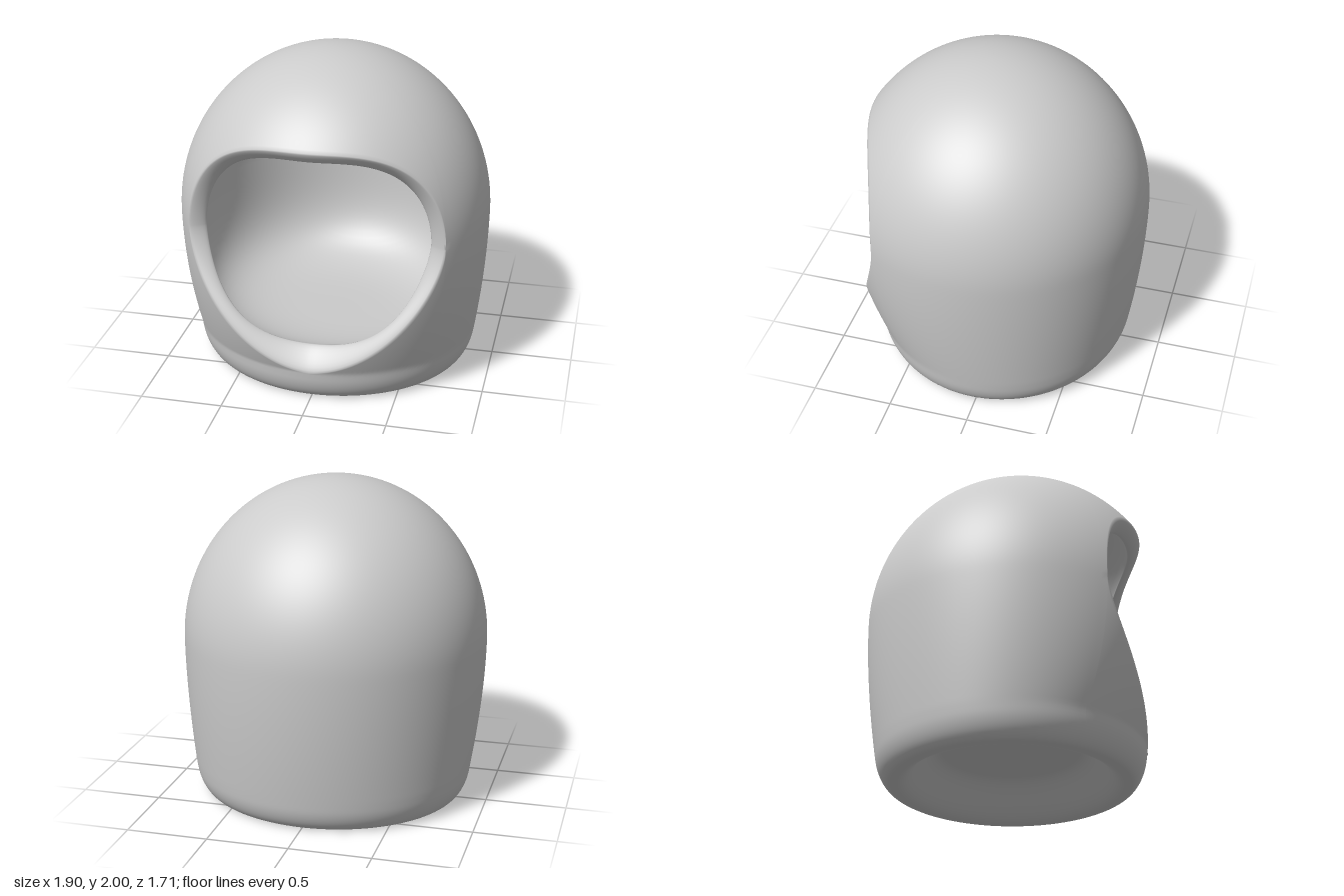
import * as THREE from 'three';
import { mergeGeometries, mergeVertices } from 'three/addons/utils/BufferGeometryUtils.js';

const FRONT = 72, BACK = 96;          // columns across the face opening and around the back
const HALF = 0.77;                    // half width of the face opening
const CENTRE = new THREE.Vector3(0, 1, 0.09);

// Quad grid from a rule giving a point for each (column, row)
function grid(cols, rows, rule) {
  const pos = [], idx = [];
  for (let j = 0; j <= rows; j++)
    for (let i = 0; i <= cols; i++) pos.push(...rule(i, j / rows).toArray());
  for (let j = 0; j < rows; j++)
    for (let i = 0; i < cols; i++) {
      const a = j * (cols + 1) + i, c = a + cols + 1;
      idx.push(a, c, a + 1, a + 1, c, c + 1);
    }
  const g = new THREE.BufferGeometry();
  g.setAttribute('position', new THREE.Float32BufferAttribute(pos, 3));
  g.setIndex(idx);
  return g;
}

// Horizontal radius of the outer surface at height y
function radius(y) {
  if (y >= 1) return 0.95 * Math.sqrt(Math.max(0, 1 - (y - 1) ** 2));
  const k = Math.max(0, 1 - y / 0.15);
  return 0.95 - 0.1 * (1 - y) ** 1.8 - 0.07 * (1 - Math.sqrt(Math.max(0, 1 - k * k)));
}

// Outer surface point: round dome above, slightly flattened front to back below
function outer(theta, y, scale = 1, lift = 0) {
  const w = 0.065 * Math.min(1, Math.max(0, 1 - y) / 0.8) ** 2;
  const r = radius(y);
  return new THREE.Vector3(
    r * scale * Math.sin(theta), y + lift, 0.09 - w + (r - w) * scale * Math.cos(theta));
}

// Inner surface point along a direction: dome above, flatter bowl below
function inner(d) {
  const p = d.y < 0 ? 4 : 2, b = d.y < 0 ? 0.74 : 0.9;
  const h = Math.hypot(d.x / 0.85, d.z / 0.84);
  const s = (h ** p + Math.abs(d.y / b) ** p) ** (-1 / p);
  return d.clone().multiplyScalar(s).add(CENTRE);
}

// Columns: upper and lower edge of the opening in front, a plain seam at the back
function column(i) {
  const side = Math.asin(HALF / radius(1));
  if (i > FRONT) {
    const t = side + (2 * Math.PI - 2 * side) * (i - FRONT) / BACK;
    return { topAngle: t, top: 1, lowAngle: t, low: 1 };
  }
  const q = Math.sin((i / FRONT - 0.5) * Math.PI), a = Math.min(1, Math.abs(q));
  const top = 1 + 0.6 * Math.sqrt(1 - a ** 3);
  const low = 1 - 0.8 * (1 - a ** 1.7) ** 0.6;
  return {
    top, low,
    topAngle: Math.asin(HALF * q / radius(top)),
    lowAngle: Math.asin(HALF * q / radius(low)),
  };
}

export function createModel() {
  const cols = Array.from({ length: FRONT + BACK + 1 }, (_, i) => column(i));

  // Crown: from the apex down to the upper edge of the opening
  const crown = grid(FRONT + BACK, 40, (i, t) => {
    const c = cols[i];
    return outer(c.topAngle, 1 + Math.cos(t * Math.acos(c.top - 1)));
  });

  // Lower wall: from the lower edge of the opening to the base
  const wall = grid(FRONT + BACK, 40, (i, t) => {
    const c = cols[i];
    return outer(c.lowAngle, c.low * (1 - t) ** 1.6);
  });

  // Underside: narrow flat rim, then a shallow hollow
  const underside = grid(FRONT + BACK, 32, (i, t) => {
    const lift = 0.22 * THREE.MathUtils.smoothstep(t, 0.05, 0.42);
    return outer(cols[i].lowAngle, 0, 1 - t, lift);
  });

  // Loop around the opening: along the upper edge, back along the lower edge
  const loop = [];
  for (let i = 0; i <= FRONT; i++) loop.push(outer(cols[i].topAngle, cols[i].top));
  for (let i = FRONT - 1; i >= 0; i--) loop.push(outer(cols[i].lowAngle, cols[i].low));

  // Rounded lip between outer and inner surface
  const lip = grid(2 * FRONT, 10, (i, t) => {
    const o = loop[i];
    const n = inner(o.clone().sub(CENTRE));
    const toward = new THREE.Vector3(-o.x, 1 - o.y, 0).normalize();
    return o.clone().lerp(n, (1 - Math.cos(t * Math.PI)) / 2)
      .addScaledVector(toward, 0.03 * Math.sin(t * Math.PI));
  });

  // Cavity: sweeps from the lip around to the back of the inside
  const cavity = grid(2 * FRONT, 48, (i, t) => {
    const d = loop[i].clone().sub(CENTRE).normalize();
    const flat = Math.hypot(d.x, d.y), start = Math.atan2(flat, d.z);
    const a = start + (Math.PI - start) * t;
    return inner(new THREE.Vector3(
      d.x / flat * Math.sin(a), d.y / flat * Math.sin(a), Math.cos(a)));
  });

  // Weld all patches so the shading runs smoothly across them
  const geometry = mergeVertices(mergeGeometries([crown, wall, underside, lip, cavity]), 1e-4);
  geometry.computeVertexNormals();

  const shell = new THREE.Mesh(geometry, new THREE.MeshStandardMaterial({ color: 0xcccccc }));
  shell.name = 'helmetShell';
  const group = new THREE.Group();
  group.name = 'helmet';
  group.add(shell);
  return group;
}
